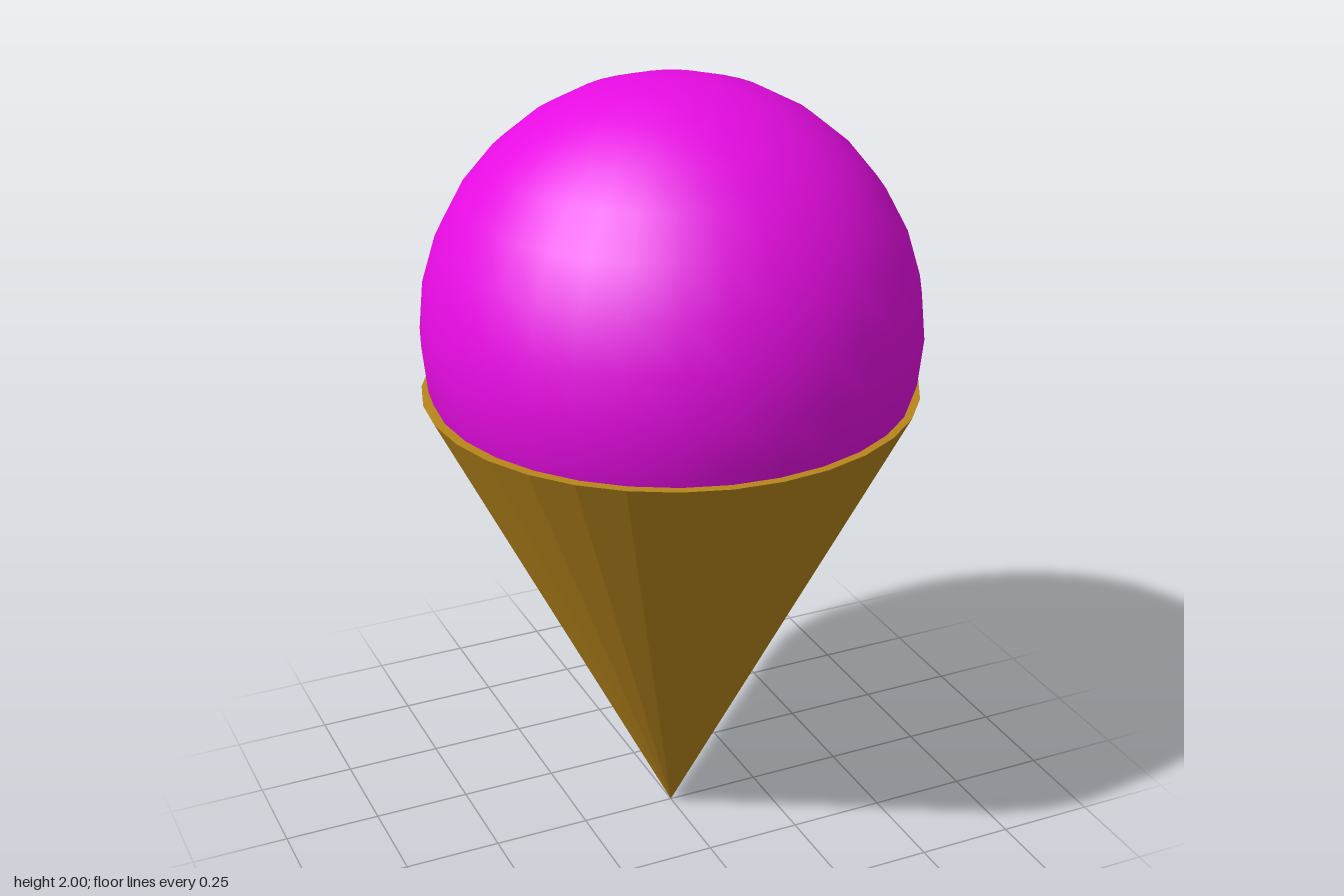
import * as THREE from 'three';

export function createModel() {
  const group = new THREE.Group();

  const addPart = (name, geometry, color, flatShading, x, y) => {
    const material = new THREE.MeshStandardMaterial({ color, flatShading });
    const mesh = new THREE.Mesh(geometry, material);
    mesh.name = name;
    mesh.position.set(x, y, 0);
    group.add(mesh);
  };

  // Faceted wafer cone, point down, closed at the rim
  const coneHeight = 1.23;
  const cone = new THREE.ConeGeometry(0.615, coneHeight, 32).rotateX(Math.PI);
  addPart('waferCone', cone, 0xb8861c, true, 0, coneHeight / 2);

  // Smooth scoop resting in the cone, very slightly off centre
  const scoopRadius = 0.615;
  const scoop = new THREE.SphereGeometry(scoopRadius, 32, 16);
  addPart('iceCreamScoop', scoop, 0xe70ce3, false, 0.003, 2 - scoopRadius);

  return group;
}
